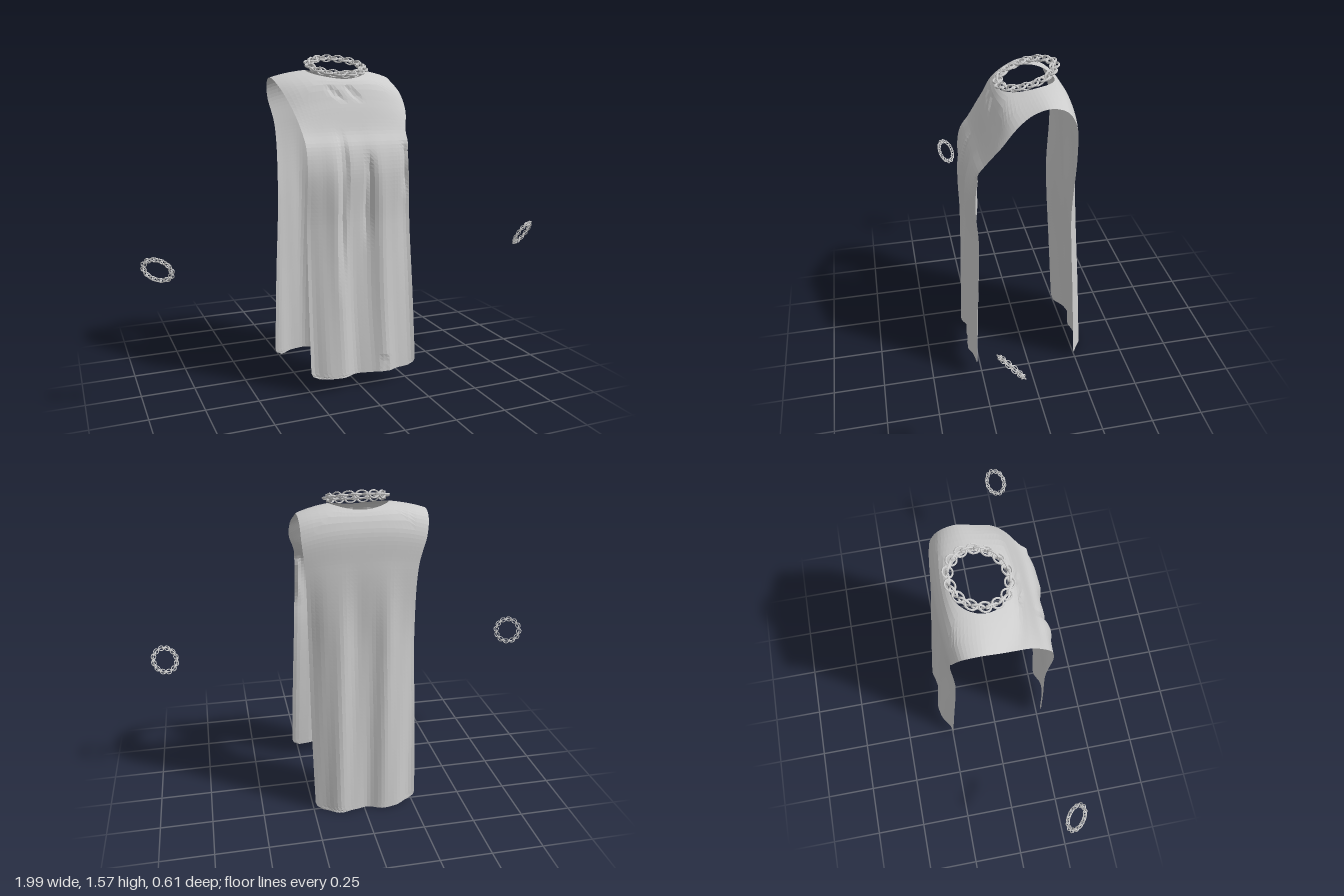
import * as THREE from 'three';

const material = new THREE.MeshStandardMaterial({ color: 0xcccccc, side: THREE.DoubleSide, flatShading: true });
const curve = (points) => new THREE.CatmullRomCurve3(points.map((p) => new THREE.Vector3(...p)));

// Lengthwise lines of the cloth, from the front hem over the shoulder to the back hem
const middle = curve([
  [0.02, 0.072, 0.29], [0, 0.45, 0.274], [0, 0.8, 0.264], [0, 1.06, 0.265], [0, 1.16, 0.24],
  [0, 1.225, 0.2], [0, 1.35, 0.152], [-0.01, 1.45, 0.104], [-0.01, 1.485, 0.03], [-0.01, 1.505, -0.08],
  [-0.01, 1.48, -0.175], [-0.01, 1.41, -0.218], [-0.01, 1.25, -0.232], [-0.01, 0.9, -0.242],
  [-0.015, 0.45, -0.27], [-0.015, 0.003, -0.298],
]);
const edgeYZ = [
  [0.072, 0.287], [0.45, 0.272], [0.8, 0.257], [1.06, 0.268], [1.16, 0.245],
  [1.22, 0.2], [1.31, 0.135], [1.39, 0.07], [1.44, 0.0], [1.466, -0.085],
  [1.44, -0.16], [1.37, -0.2], [1.23, -0.212], [0.9, -0.214],
  [0.45, -0.237], [0.003, -0.258],
];
const rightX = [-0.25, -0.255, -0.256, -0.256, -0.256, -0.258, -0.275, -0.3, -0.316, -0.322, -0.316, -0.302, -0.264, -0.256, -0.265, -0.27];
const leftX = [0.29, 0.277, 0.262, 0.25, 0.25, 0.256, 0.285, 0.285, 0.272, 0.275, 0.272, 0.27, 0.258, 0.25, 0.248, 0.24];
const rightEdge = curve(edgeYZ.map(([y, z], i) => [rightX[i], y, z]));
const leftEdge = curve(edgeYZ.map(([y, z], i) => [leftX[i], y, z]));

// Narrow slanted pleats in the front panel: x, lowest y, highest y, depth, slant
const pleats = [
  [-0.1, 0.4, 1.25, 0.022, 0.03], [0.035, 0.65, 1.15, 0.016, 0.03], [0.232, 0.9, 1.18, 0.02, 0.03],
  [0.12, 0, 0.16, 0.008, 0], [-0.03, 1.35, 1.43, 0.01, -1], [0.05, 1.35, 1.43, 0.01, -0.8],
];

function addFolds(p) {
  const hang = 1 - THREE.MathUtils.smoothstep(p.y, 0.85, 1.3);
  let out = -0.015 * hang * Math.cos((p.x * Math.PI * 2) / 0.24);
  out += 0.003 * hang * Math.sin(p.x * 61 + p.y * 2.5);
  if (p.z > 0) {
    for (const [x, low, high, depth, slant] of pleats) {
      const tall = high - low;
      const along = THREE.MathUtils.smoothstep(p.y, low, low + tall * 0.5) * (1 - THREE.MathUtils.smoothstep(p.y, high - tall * 0.2, high));
      const center = x + (p.y - low) * slant;
      out -= depth * along * Math.exp(-(((p.x - center) / 0.017) ** 2));
    }
  }
  p.z += out * Math.sign(p.z);
  return p;
}

// Cloth sheet: a grid whose square gap is rounded into the neck opening
function makeCloth() {
  const cols = 15, half = 0.28, step = half / cols, gap = 6, blend = 12, neckRadius = 0.132, corner = 0.04;
  const length = middle.getLength();
  let neck = 0;
  while (middle.getPointAt(neck).z > -0.03) neck += 0.002;
  const start = -neck * length, end = length + start;
  const first = Math.floor(start / step), last = Math.ceil(end / step);
  const positions = [], index = [], width = cols * 2 + 1;

  for (let j = first; j <= last; j++) {
    for (let i = -cols; i <= cols; i++) {
      let x = i * step, s = THREE.MathUtils.clamp(j * step, start, end);
      const ring = Math.max(Math.abs(i), Math.abs(j));
      if (ring >= gap && ring < blend) {
        const k = THREE.MathUtils.lerp(neckRadius / Math.hypot(x, s), 1, (ring - gap) / (blend - gap));
        x *= k;
        s *= k;
      }
      // Rounded hem corners
      const d = Math.min(s - start, end - s, corner);
      const inset = corner - Math.sqrt(Math.max(0, corner ** 2 - (corner - d) ** 2));
      const w = (x / half) * (1 - inset / half);
      const t = middle.getUtoTmapping(THREE.MathUtils.clamp((s - start) / length, 0, 1));
      const p = middle.getPoint(t), e = (w < 0 ? rightEdge : leftEdge).getPoint(t);
      const side = Math.abs(w), droop = side ** 2.6;
      p.set(
        THREE.MathUtils.lerp(p.x, e.x, side),
        THREE.MathUtils.lerp(p.y, e.y, droop),
        THREE.MathUtils.lerp(p.z, e.z, droop),
      );
      positions.push(...addFolds(p).toArray());
      const inGap = i >= -gap && i < gap && j >= -gap && j < gap;
      if (i < cols && j < last && !inGap) {
        const a = (j - first) * width + i + cols, b = a + width;
        index.push(a, a + 1, b, b, a + 1, b + 1);
      }
    }
  }
  const geometry = new THREE.BufferGeometry();
  geometry.setAttribute('position', new THREE.Float32BufferAttribute(positions, 3));
  geometry.setIndex(index);
  geometry.computeVertexNormals();
  const cloth = new THREE.Mesh(geometry, material);
  cloth.name = 'tabardCloth';
  return cloth;
}

// Closed chain of round flat links joined by upright oval links
function makeChain(name, pairs, radius, center, normal) {
  const chain = new THREE.Group();
  chain.name = name;
  const pitch = (Math.PI * 2 * radius) / pairs;
  const linkGeometry = new THREE.TorusGeometry(pitch * 0.44, pitch * 0.09, 6, 14);
  for (let i = 0; i < pairs * 2; i++) {
    const angle = (i / (pairs * 2)) * Math.PI * 2;
    const link = new THREE.Mesh(linkGeometry, material);
    link.name = i % 2 ? 'uprightLink' : 'flatLink';
    link.position.set(Math.cos(angle) * radius, 0, Math.sin(angle) * radius);
    link.rotation.y = -angle - Math.PI / 2;
    link.scale.y = i % 2 ? 0.65 : 0.85;
    if (i % 2 === 0) link.rotateX(Math.PI / 2);
    chain.add(link);
  }
  chain.position.set(...center);
  chain.quaternion.setFromUnitVectors(new THREE.Vector3(0, 1, 0), new THREE.Vector3(...normal).normalize());
  return chain;
}

export function createModel() {
  const model = new THREE.Group();
  model.name = 'tabardWithChains';
  model.add(makeCloth());
  model.add(makeChain('neckChain', 14, 0.131, [-0.007, 1.519, -0.034], [0, 0.95, 0.28]));
  model.add(makeChain('rightWristChain', 12, 0.062, [-0.93, 0.675, 0.252], [0.45, 0.5, -0.74]));
  model.add(makeChain('leftWristChain', 12, 0.062, [0.925, 0.675, 0.225], [-0.45, 0.5, -0.74]));
  return model;
}
